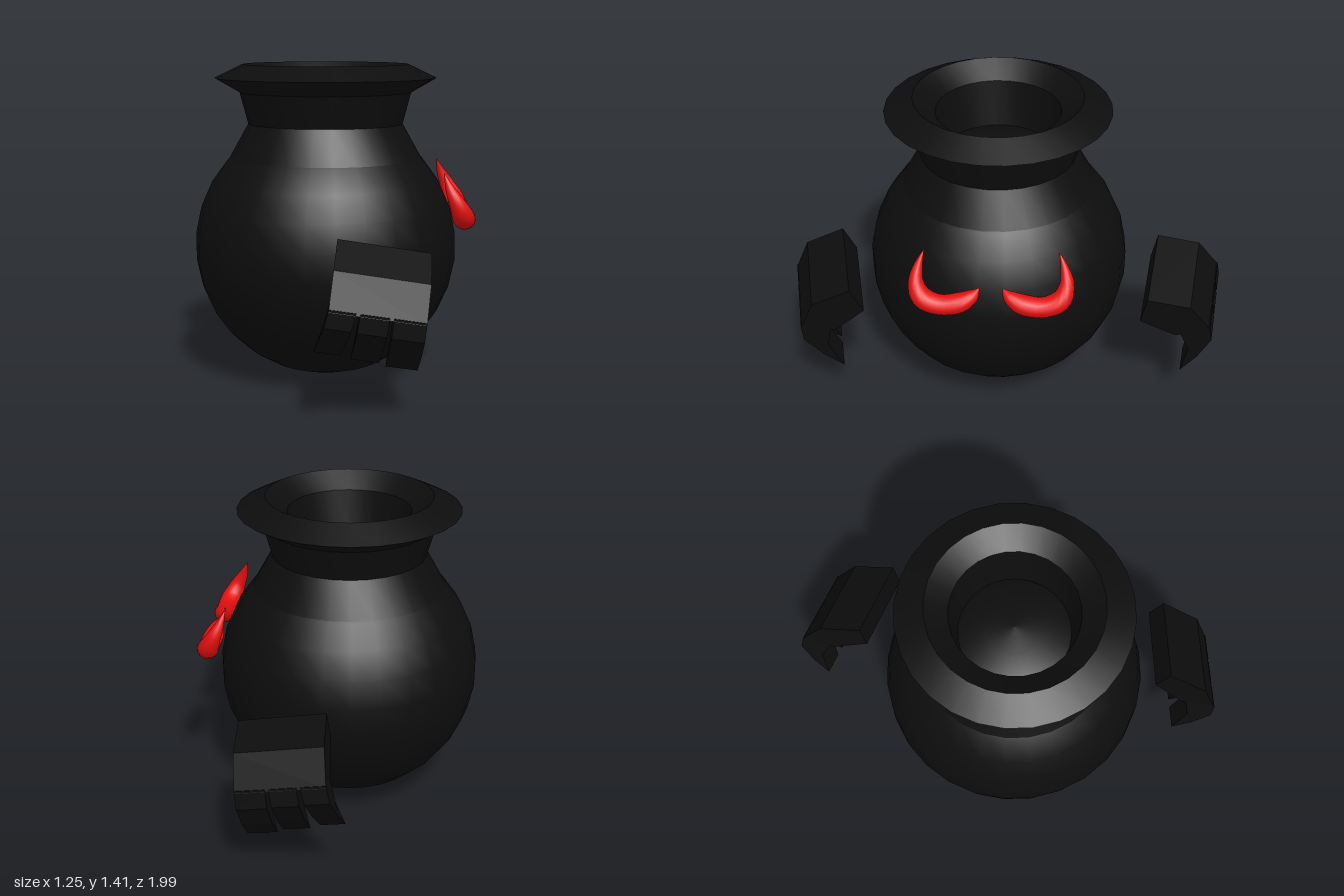
import * as THREE from 'three';
import { toCreasedNormals } from 'three/addons/utils/BufferGeometryUtils.js';
import { ConvexGeometry } from 'three/addons/geometries/ConvexGeometry.js';

const SIDES = 28;
const CX = -0.04, CZ = 0.04; // axis of the pot

function lathe(profile, crease) {
  const pts = profile.map(([r, y]) => new THREE.Vector2(r, y));
  const geo = new THREE.LatheGeometry(pts, SIDES, Math.PI / SIDES);
  return crease ? toCreasedNormals(geo, crease) : geo;
}

// Tapered tube through rows of [x, y, z, radius]
function hornGeometry(rows, steps = 28, sides = 16) {
  const path = new THREE.CatmullRomCurve3(rows.map(([x, y, z]) => new THREE.Vector3(x, y, z)));
  const radii = new THREE.CatmullRomCurve3(rows.map((r, i) => new THREE.Vector3(i, r[3], 0)));
  const pos = [], index = [];
  for (let i = 0; i <= steps; i++) {
    const t = i / steps;
    const p = path.getPoint(t), tan = path.getTangent(t);
    const r = Math.max(0.001, radii.getPoint(t).y);
    const s1 = new THREE.Vector3(1, 0, 0).addScaledVector(tan, -tan.x).normalize();
    const s2 = new THREE.Vector3().crossVectors(tan, s1);
    for (let j = 0; j < sides; j++) {
      const a = (j / sides) * Math.PI * 2;
      const v = p.clone().addScaledVector(s1, Math.cos(a) * r * 1.08).addScaledVector(s2, Math.sin(a) * r);
      pos.push(v.x, v.y, v.z);
      if (i < steps) {
        const k = (j + 1) % sides, o = i * sides;
        index.push(o + j, o + k, o + sides + j, o + k, o + sides + k, o + sides + j);
      }
    }
  }
  const geo = new THREE.BufferGeometry();
  geo.setAttribute('position', new THREE.Float32BufferAttribute(pos, 3));
  geo.setIndex(index);
  geo.computeVertexNormals();
  return geo;
}

export function createModel() {
  const group = new THREE.Group();
  const black = new THREE.MeshStandardMaterial({ name: 'black', color: 0x0d0d0d });
  const red = new THREE.MeshStandardMaterial({ name: 'red', color: 0xe30f0f });
  const add = (parent, name, geo, mat) => {
    const mesh = new THREE.Mesh(geo, mat);
    mesh.name = name;
    parent.add(mesh);
    return mesh;
  };

  // Round belly: a full ball whose top is the floor inside the neck
  const ball = [];
  for (let i = 0; i <= 15; i++) {
    const a = (i / 15) * Math.PI;
    ball.push([Math.max(0, 0.592 * Math.sin(a)), 0.592 - 0.59 * Math.cos(a)]);
  }
  add(group, 'belly', lathe(ball), black).position.set(CX, 0, CZ);

  // Neck and flared rim, up the outside and down the inside
  const neck = [[0.435, 0.99], [0.348, 1.145], [0.385, 1.285], [0.497, 1.35],
    [0.372, 1.41], [0.275, 1.34], [0.24, 1.11]];
  add(group, 'neckAndRim', lathe(neck, 0.45), black).position.set(CX, 0, CZ);

  // Crescent eyes
  const eye = [[0.478, 0.955, 0.325, 0.001], [0.505, 0.885, 0.35, 0.02], [0.535, 0.825, 0.358, 0.033],
    [0.562, 0.768, 0.332, 0.045], [0.575, 0.742, 0.26, 0.043], [0.57, 0.752, 0.17, 0.043],
    [0.56, 0.782, 0.118, 0.028], [0.548, 0.812, 0.092, 0.002]];
  add(group, 'leftEye', hornGeometry(eye.map(([x, y, z, r]) => [x, y, 2 * 0.0425 - z, r])), red);
  add(group, 'rightEye', hornGeometry(eye), red);

  // Floating hands; profiles are [outward, up] around the hand's middle
  const palm = [[-0.105, 0.26], [0.07, 0.17], [0.135, 0.02], [-0.02, 0.02], [-0.16, 0.145]];
  const knuckle = [[0.135, 0.03], [0.13, -0.05], [0.05, -0.14], [0.02, -0.08], [0, 0.03]];
  const claw = [[0.05, -0.14], [-0.04, -0.21], [0.02, -0.08]];
  const fingers = [ // start, end, sideways splay, length
    [-0.18, -0.075, 0.2, 0.9], [-0.06, 0.055, 0.06, 0.95], [0.07, 0.2, 0, 1]];

  function hand(name, side, turn, dx, dz) {
    const g = new THREE.Group();
    g.name = name;
    const c = Math.cos(turn), s = Math.sin(turn);
    const place = (u, a, b) => {
      const out = a - 0.22 * u, up = b - 0.19 * u;
      return new THREE.Vector3(0.18 + dx + u + 0.12 * b,
        0.45 + out * s + up * c, side * (0.82 + dz + out * c - up * s));
    };
    const block = (part, profile, u0, u1, splay = 0, len = 1) => {
      const pts = [];
      for (const [a, b] of profile) {
        const shift = splay * Math.min(0, b);
        for (const u of [u0, u1]) pts.push(place(u + shift, a, b < 0 ? b * len : b));
      }
      add(g, part, new ConvexGeometry(pts), black);
    };
    block('palm', palm, -0.18, 0.2);
    for (const [u0, u1, splay, len] of fingers) {
      block('finger', knuckle, u0, u1, splay, len);
      block('fingertip', claw, u0, u1, splay, len);
    }
    group.add(g);
  }
  hand('frontHand', 1, 0, 0, 0);
  hand('backHand', -1, 0.25, -0.05, 0.01);

  return group;
}
